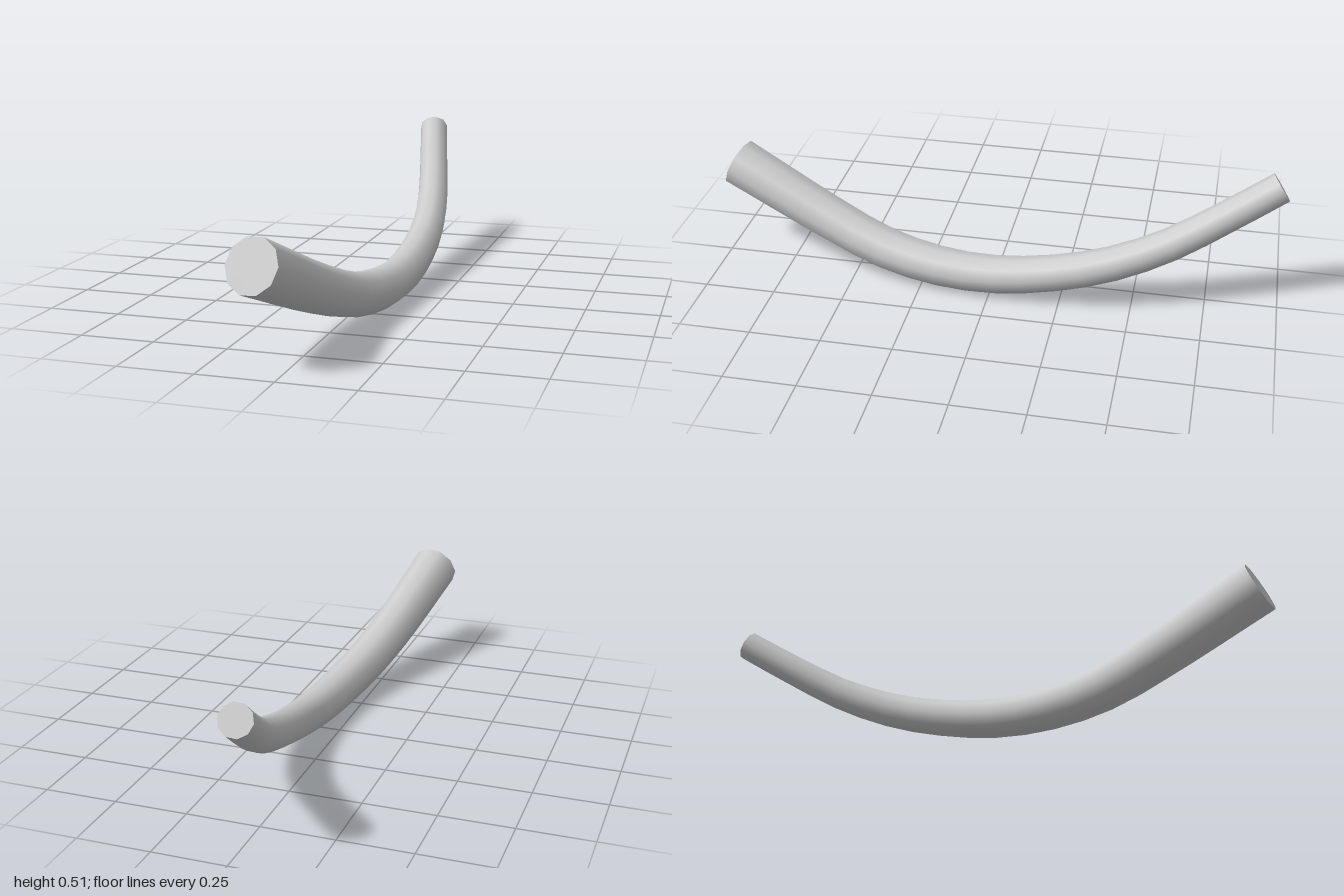
import * as THREE from 'three';

const SIDES = 10, STEPS = 20;

// centre line stations from front to back: x, y, z, radius
const STATIONS = [
  [-0.078, 0.33, 0.965, 0.09],
  [-0.005, 0.174, 0.6, 0.081],
  [0.04, 0.106, 0.4, 0.077],
  [0.074, 0.075, 0.2, 0.073],
  [0.093, 0.074, 0, 0.069],
  [0.099, 0.104, -0.2, 0.065],
  [0.091, 0.157, -0.4, 0.062],
  [0.062, 0.239, -0.6, 0.058],
  [0.015, 0.355, -0.8, 0.055],
  [-0.028, 0.463, -0.97, 0.054],
];

// radius interpolated along z
function radiusAt(z) {
  for (let i = 1; i < STATIONS.length; i++) {
    const a = STATIONS[i - 1], b = STATIONS[i];
    if (z >= b[2]) return THREE.MathUtils.lerp(a[3], b[3], (a[2] - z) / (a[2] - b[2]));
  }
  return STATIONS[STATIONS.length - 1][3];
}

// flat end disc as a fan over one ring of the tube
function capGeometry(ring, centre, outward) {
  const n = ring[1].clone().sub(centre).cross(ring[2].clone().sub(centre));
  const flip = n.dot(outward) < 0;
  const points = [];
  for (let j = 0; j < SIDES; j++) {
    const a = ring[j], b = ring[(j + 1) % SIDES];
    points.push(centre, flip ? b : a, flip ? a : b);
  }
  const geometry = new THREE.BufferGeometry().setFromPoints(points);
  geometry.computeVertexNormals();
  return geometry;
}

export function createModel() {
  const group = new THREE.Group();
  group.name = 'curvedHorn';
  const material = new THREE.MeshStandardMaterial({ color: 0xcccccc });
  const add = (geometry, name) => {
    const mesh = new THREE.Mesh(geometry, material);
    mesh.name = name;
    group.add(mesh);
  };

  // tapered bent shaft: a unit tube whose rings are scaled to the local radius
  const curve = new THREE.CatmullRomCurve3(STATIONS.map(([x, y, z]) => new THREE.Vector3(x, y, z)));
  const shaft = new THREE.TubeGeometry(curve, STEPS, 1, SIDES, false);
  const pos = shaft.attributes.position, v = new THREE.Vector3();
  for (let i = 0; i <= STEPS; i++) {
    const centre = curve.getPointAt(i / STEPS), r = radiusAt(centre.z);
    for (let j = 0; j <= SIDES; j++) {
      const k = i * (SIDES + 1) + j;
      v.fromBufferAttribute(pos, k).sub(centre).multiplyScalar(r).add(centre);
      pos.setXYZ(k, v.x, v.y, v.z);
    }
  }
  add(shaft, 'shaft');

  // cut ends
  [[0, 'frontEnd', -1], [STEPS, 'backEnd', 1]].forEach(([step, name, sign]) => {
    const ring = [];
    for (let j = 0; j < SIDES; j++) {
      ring.push(new THREE.Vector3().fromBufferAttribute(pos, step * (SIDES + 1) + j));
    }
    const u = step / STEPS;
    add(capGeometry(ring, curve.getPointAt(u), curve.getTangentAt(u).multiplyScalar(sign)), name);
  });
  return group;
}
